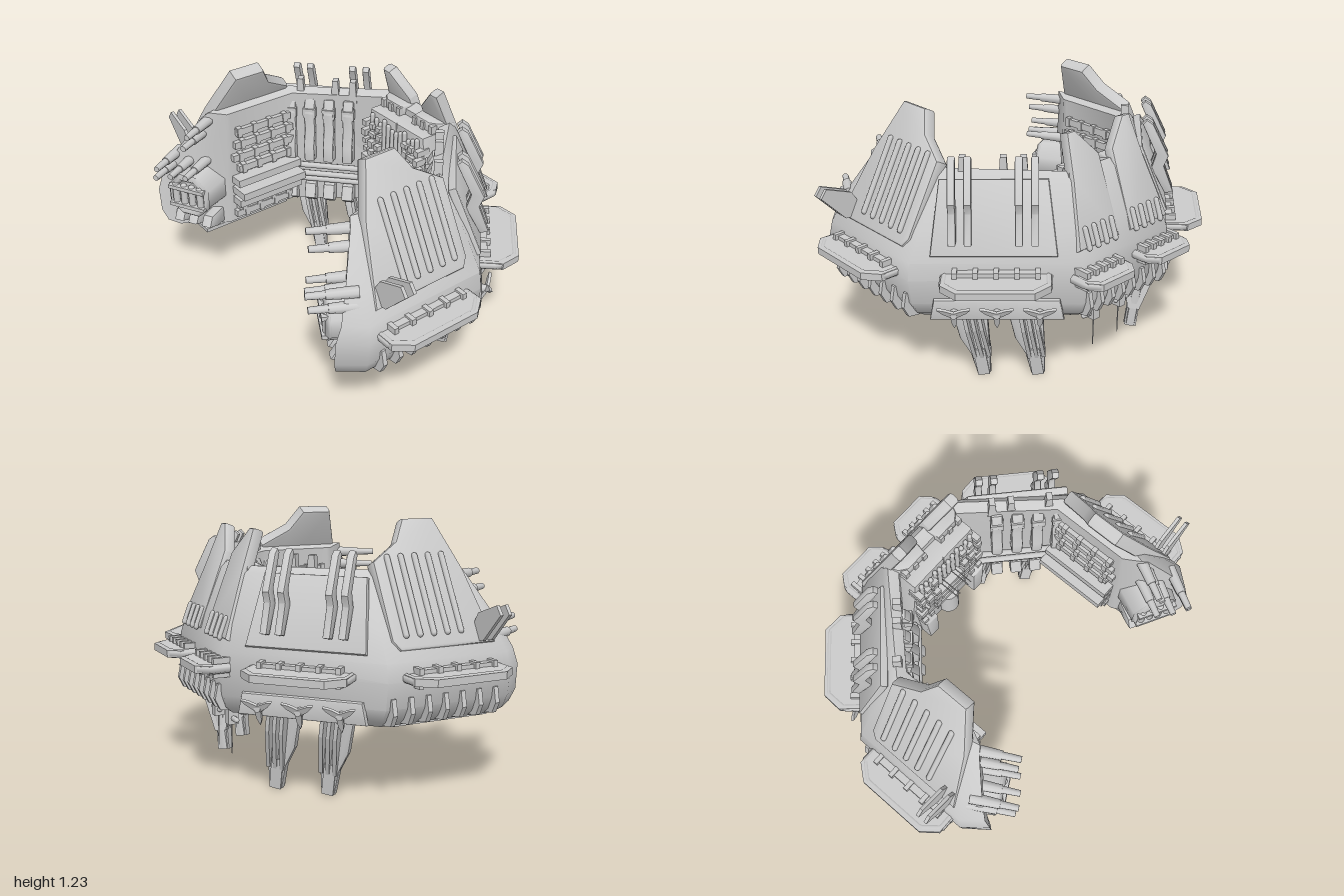
import * as THREE from 'three';
import { toCreasedNormals } from 'three/addons/utils/BufferGeometryUtils.js';

const grey = new THREE.MeshStandardMaterial({ color: 0xcccccc });

function add(parent, name, geo, x = 0, y = 0, z = 0, rx = 0, ry = 0, rz = 0) {
  const m = new THREE.Mesh(geo, grey);
  m.name = name;
  m.position.set(x, y, z);
  m.rotation.set(rx, ry, rz);
  parent.add(m);
  return m;
}
function frame(parent, name, x, y, z, ry = 0, rx = 0, rz = 0) {
  const g = new THREE.Group();
  g.name = name;
  g.position.set(x, y, z);
  g.rotation.set(rx, ry, rz);
  parent.add(g);
  return g;
}
const box = (w, h, d) => new THREE.BoxGeometry(w, h, d);
const capsule = (r, l) => new THREE.CapsuleGeometry(r, l, 3, 8);
const cyl = (a, b, h, n = 10) => new THREE.CylinderGeometry(a, b, h, n);

// Polygon slab, centred on its thickness; bevelled slabs get soft edges
function slab(pts, depth, bevel = 0) {
  const shape = new THREE.Shape(pts.map(p => new THREE.Vector2(p[0], p[1])));
  const d = depth - 2 * bevel;
  const g = new THREE.ExtrudeGeometry(shape, {
    depth: d, bevelEnabled: bevel > 0, bevelSize: bevel, bevelOffset: -bevel, bevelThickness: bevel, bevelSegments: 2
  }).translate(0, 0, -d / 2);
  return bevel > 0 ? toCreasedNormals(g, 0.75) : g;
}
// Profile drawn as (z, y), given a width along x
const sideSlab = (pts, width, bevel = 0) =>
  slab(pts.map(([z, y]) => [-z, y]), width, bevel).rotateY(Math.PI / 2);

// Horseshoe hull: one ring of wall points carried through eight stations
function hullGeometry() {
  // y, then x,z at the rear corner, the arm root, the arm shoulder and the arm end
  const rows = [
    [0.36, 0.25, -0.54, 0.76, -0.06, 0.77, 0.52, 0.7, 0.59],
    [0.39, 0.27, -0.575, 0.8, -0.075, 0.81, 0.54, 0.73, 0.64],
    [0.45, 0.28, -0.595, 0.835, -0.08, 0.835, 0.55, 0.75, 0.66],
    [0.57, 0.28, -0.6, 0.85, -0.08, 0.85, 0.55, 0.76, 0.66],
    [0.65, 0.28, -0.595, 0.835, -0.08, 0.835, 0.54, 0.76, 0.63],
    [0.78, 0.26, -0.555, 0.76, -0.07, 0.76, 0.5, 0.71, 0.57],
    [0.99, 0.22, -0.47, 0.62, -0.05, 0.62, 0.42, 0.6, 0.46],
    [1.02, 0.21, -0.44, 0.58, -0.04, 0.58, 0.4, 0.57, 0.44],
    [1.0, 0.2, -0.38, 0.53, -0.03, 0.53, 0.34, 0.53, 0.36],
    [0.62, 0.25, -0.35, 0.54, -0.02, 0.54, 0.34, 0.54, 0.38],
    [0.37, 0.25, -0.37, 0.54, -0.02, 0.54, 0.34, 0.54, 0.38]];
  const order = [[7, -1], [5, -1], [3, -1], [1, -1], [1, 1], [3, 1], [5, 1], [7, 1]];
  const stations = order.map(([k, s]) => rows.map(r => [s * r[k], r[0], r[k + 1]]));
  const pos = [], n = rows.length, last = stations.length - 1;
  const tri = (...v) => v.forEach(p => pos.push(...p));
  for (let s = 0; s < last; s++) for (let i = 0; i < n; i++) {
    const j = (i + 1) % n, A = stations[s], B = stations[s + 1];
    tri(A[i], A[j], B[j]);
    tri(A[i], B[j], B[i]);
  }
  for (let i = 1; i < n - 1; i++) {
    tri(stations[last][0], stations[last][i], stations[last][i + 1]);
    tri(stations[0][0], stations[0][i + 1], stations[0][i]);
  }
  const g = new THREE.BufferGeometry();
  g.setAttribute('position', new THREE.Float32BufferAttribute(pos, 3));
  return toCreasedNormals(g, 0.85);
}

// Flat dock sticking out of a wall, with a tube rim and collars at its root
function dock(parent, x, h, depth) {
  const g = frame(parent, 'sideDock', x, 0.585, 0);
  const t = h * 0.7;
  const edge = [[-h, 0], [-h, depth * 0.6], [-t, depth], [t, depth], [h, depth * 0.6], [h, 0]];
  add(g, 'dockPlate', slab(edge.map(p => [p[0], -p[1]]), 0.034), 0, 0, 0, -Math.PI / 2);
  const rim = new THREE.CurvePath();
  const pts = edge.map(p => new THREE.Vector3(p[0] * 0.95, 0, p[1] - 0.02));
  for (let i = 0; i < 5; i++) rim.add(new THREE.LineCurve3(pts[i], pts[i + 1]));
  add(g, 'dockRim', new THREE.TubeGeometry(rim, 40, 0.022, 6));
  add(g, 'dockRoot', box(h * 1.5, 0.07, 0.06), 0, 0, 0.005);
  for (let i = -2; i <= 2; i++) add(g, 'dockCollar', box(0.022, 0.09, 0.08), i * h * 0.38, 0, 0.01);
}

// Row of wedge ribs under a wall
function lowerRibs(parent, count, x0, step) {
  for (let i = 0; i < count; i++)
    add(parent, 'lowerRib', sideSlab([[-0.06, 0.37], [0, 0.38], [0.025, 0.43], [0.01, 0.5], [-0.05, 0.5]], 0.022), x0 + i * step, 0, 0);
}

// One arm
function buildArm(half) {
  const g = frame(half, 'armOuterSide', 0.84, 0, 0.27, Math.PI / 2);
  const a = Math.atan(0.2 / 0.37), c = Math.cos(a);
  const wall = frame(g, 'armWall', 0, 0.62, 0, 0, -a);
  const at = (z, y) => [0.27 - z, (y - 0.62) / c];
  add(wall, 'armFin', slab([[0.49, 0.69], [0.42, 1.0], [0.33, 1.225], [0.17, 1.225], [0.11, 1.13], [-0.03, 1.05], [-0.03, 0.73], [0, 0.69]].map(p => at(...p)), 0.07, 0.015), 0, 0, -0.015);
  for (let i = 0; i < 5; i++) {
    const [x, y] = at(0.32 - i * 0.07, 0.905);
    add(wall, 'finRib', capsule(0.014, 0.36), x, y, 0.022);
  }
  dock(g, 0.02, 0.25, 0.15);
  lowerRibs(g, 7, -0.205, 0.0875);
  for (const z of [0.41, 0.455])
    add(half, 'slantedVane', slab([[0.72, 0.7], [0.84, 0.71], [0.96, 0.84], [0.93, 0.88], [0.8, 0.83]], 0.016), 0, 0, z);
  add(half, 'keelPlate', box(0.18, 0.02, 0.5), 0.65, 0.355, 0.26);

  // Inner side: stacked shelves and long bars
  for (const [y, w] of [[0.5, 0.07], [0.56, 0.11], [0.62, 0.07]]) add(half, 'innerShelf', box(w, 0.04, 0.38), 0.54 - w / 2, y, 0.16);
  for (let i = 0; i < 6; i++) {
    const y = [0.42, 0.46, 0.68, 0.75, 0.82, 0.89][i], len = 0.38 - 0.03 * (i % 3);
    add(half, 'innerBar', box(0.04, 0.036, len), 0.53, y, 0.16);
    for (let k = 0; k < 4; k++) add(half, 'innerClamp', box(0.05, 0.05, 0.025), 0.53, y, 0.02 + k * 0.09 + 0.015 * (i % 2));
  }

  // Forward end: octagonal dock with upright cells, lower blocks and gun tubes
  const end = frame(half, 'armEndDock', 0.635, 0.585, 0.49, -0.5);
  add(end, 'endHousing', cyl(0.12, 0.14, 0.2, 8), 0, 0, 0, Math.PI / 2, Math.PI / 8, 0);
  add(end, 'endRing', new THREE.TorusGeometry(0.105, 0.02, 4, 8), 0, 0, 0.1, 0, 0, Math.PI / 8);
  for (let i = -1.5; i < 2; i++) add(end, 'endCell', capsule(0.018, 0.11), i * 0.046, 0, 0.11);
  for (const y of [-0.05, 0.05]) add(end, 'endStrap', box(0.2, 0.02, 0.03), 0, y, 0.12);
  for (const x of [-0.08, 0, 0.08])
    add(end, 'endLowerBlock', sideSlab([[-0.05, -0.21], [0.03, -0.2], [0.1, -0.17], [0.07, -0.12], [-0.05, -0.12]], 0.055, 0.008), x, 0, 0);
  for (const [x, y, z] of [[0.59, 0.97, 0.43], [0.62, 0.9, 0.44], [0.73, 0.77, 0.54], [0.75, 0.71, 0.54], [0.67, 0.74, 0.5], [0.61, 0.74, 0.45]]) {
    const t = frame(half, 'gunTube', x, y, z, -0.5);
    add(t, 'tubeBody', cyl(0.022, 0.028, 0.14), 0, 0, 0.05, Math.PI / 2);
    add(t, 'tubeMuzzle', cyl(0.015, 0.018, 0.09), 0, 0, 0.16, Math.PI / 2);
  }
}

// Diagonal section with its panel, pipes, claws and legs
function buildDiagonal(half) {
  const g = frame(half, 'diagonalSection', 0.56, 0, -0.34, Math.atan2(0.68, -0.733));
  const wall = frame(g, 'diagonalWall', 0, 0.62, 0, 0, -Math.atan(0.16 / 0.38));
  add(wall, 'wallPanel', slab([[-0.29, 0.06], [-0.25, 0.4], [0.23, 0.4], [0.27, 0.06]], 0.04, 0.01), 0, 0, 0.008);
  for (const x of [-0.19, -0.12, 0.1, 0.17])
    add(g, 'wallPipe', sideSlab([[-0.03, 0.74], [0.01, 0.75], [-0.04, 0.88], [-0.02, 0.93], [-0.1, 1.09], [-0.13, 1.11], [-0.15, 1.09], [-0.08, 0.94], [-0.1, 0.87]], 0.034, 0.006), x, 0, 0.02);
  dock(g, 0, 0.24, 0.18);
  add(g, 'clawPanel', slab([[-0.3, 0.38], [-0.28, 0.48], [0.28, 0.48], [0.3, 0.38]], 0.04, 0.01), 0, 0, 0);
  for (const x of [-0.19, 0, 0.19]) {
    const c = frame(g, 'claw', x, 0.42, 0.03);
    for (let i = 0; i < 3; i++)
      add(c, 'clawBlade', slab([[-0.016, 0], [0.016, 0], [0.01, 0.06], [0, 0.085], [-0.012, 0.05]], 0.014), 0, 0, 0.015, 0.4, 0, Math.PI + i * Math.PI * 2 / 3);
    add(c, 'clawHub', cyl(0.016, 0.022, 0.05, 8), 0, 0, 0, Math.PI / 2);
  }
  // Legs lean toward the centre line
  for (const x of [-0.125, 0.13]) {
    const leg = frame(g, 'leg', x, 0.4, -0.1, 0, 0.13, 0.14);
    add(leg, 'legBlade', slab([[-0.09, 0.4], [-0.08, 0.22], [-0.045, 0.12], [-0.035, 0], [0.03, 0], [0.05, 0.15], [0.075, 0.4]], 0.045, 0.01), 0, -0.4, 0);
    for (const k of [-1, 0, 1])
      add(leg, 'legRib', sideSlab([[-0.08, 0.4], [-0.07, 0.28], [-0.045, 0.16], [-0.03, 0.1], [0.03, 0.1], [0.045, 0.16], [0.08, 0.3], [0.08, 0.4]], 0.018), k * 0.033 + 0.005, -0.4, 0);
    add(leg, 'legFoot', box(0.055, 0.15, 0.06), -0.003, -0.325, 0);
  }
  // Inner side: curved ribs, long pipes and lower blocks
  for (let i = 0; i < 4; i++) {
    const x = -0.2 + i * 0.1;
    add(g, 'innerRib', sideSlab([[-0.18, 0.97], [-0.24, 0.97], [-0.275, 0.9], [-0.255, 0.8], [-0.29, 0.72], [-0.285, 0.63], [-0.18, 0.6]], 0.055, 0.01), x, 0, 0);
    add(g, 'innerCap', box(0.065, 0.05, 0.04), x, 0.9, -0.25);
    add(g, 'lowerBlock', sideSlab([[-0.18, 0.37], [-0.25, 0.37], [-0.3, 0.41], [-0.27, 0.48], [-0.18, 0.49]], 0.06, 0.008), x, 0, 0);
  }
  for (const x of [-0.15, 0.03, 0.12])
    add(g, 'rimNub', slab([[-0.022, 0.96], [-0.014, 1.075], [0.014, 1.075], [0.022, 0.96]], 0.04), x, 0, -0.21);
  for (let i = 0; i < 3; i++) add(g, 'innerPipe', capsule(0.016, 0.4), -0.02, 0.51 + i * 0.04, -0.26 - 0.015 * (i % 2), 0, 0, Math.PI / 2);
}

// Rear section, one half of it
function buildRear(half) {
  const g = frame(half, 'rearSection', 0, 0, -0.6, Math.PI);
  const a = Math.atan(0.14 / 0.37);
  const wall = frame(g, 'rearWall', 0, 0.62, 0, 0, -a);
  const pts = [[0.035, 0.7], [0.04, 1.06], [0.15, 1.18], [0.2, 1.18], [0.23, 0.98], [0.29, 0.7]];
  add(wall, 'rearFin', slab(pts.map(([x, y]) => [-x, (y - 0.62) / Math.cos(a)]), 0.06, 0.015), 0, 0, -0.01);
  for (let i = 0; i < 4; i++) add(wall, 'finFootPipe', capsule(0.013, 0.09), -0.07 - i * 0.055, 0.13, 0.022);
  dock(g, -0.19, 0.14, 0.13);
  lowerRibs(g, 4, -0.245, 0.07);
  // Hanging pod and antenna
  add(half, 'podStem', box(0.04, 0.14, 0.05), 0.09, 0.33, -0.48);
  add(half, 'podBar', capsule(0.013, 0.08), 0.11, 0.29, -0.48, 0, 0, Math.PI / 2);
  add(half, 'antenna', cyl(0.006, 0.002, 0.3, 5), 0.085, 0.26, -0.48);
  for (const x of [0.17, 0.24]) add(half, 'keelBlock', box(0.04, 0.04, 0.1), x, 0.365, -0.45);
}

// Bridge on the inner side of the rear section, one half of it
function buildBridge(half) {
  add(half, 'bridgeCore', slab([[0, 0.39], [0.25, 0.39], [0.25, 0.6], [0.2, 0.97], [0, 0.97]], 0.12, 0.01), 0, 0, -0.34);
  add(half, 'bridgeRoof', slab([[0.03, 0.45], [0.23, 0.45], [0.2, 0.38], [0.16, 0.35], [0.05, 0.35]], 0.06, 0.012), 0, 0.99, 0, -Math.PI / 2);
  for (let i = 0; i < 6; i++) add(half, 'bridgePipe', capsule(0.012, 0.12 + 0.03 * (i % 3)), 0.015 + i * 0.031, 0.86, -0.27);
  for (const y of [0.62, 0.67, 0.72]) add(half, 'bridgeBar', box(0.11, 0.025, 0.06), 0.055, y, -0.27);
  add(half, 'bridgeColumn', cyl(0.055, 0.055, 0.17, 16), 0, 0.49, -0.28);
  add(half, 'bridgeDrum', slab([[-0.035, 0.4], [-0.035, 0.58], [0.045, 0.6], [0.03, 0.4]], 0.1, 0.01), 0.17, 0, -0.27);
  let seed = 7;
  const rnd = () => (seed = (seed * 16807) % 2147483647) / 2147483647;
  for (let r = 0; r < 7; r++) for (let k = 0; k < 3; k++)
    add(half, 'bridgeFitting', box(0.02 + 0.03 * rnd(), 0.02 + 0.02 * rnd(), 0.05 + 0.04 * rnd()), 0.1 + k * 0.05, 0.6 + r * 0.05, -0.275);
  for (const x of [0.03, 0.05]) add(half, 'bridgeProbe', cyl(0.003, 0.003, 0.12, 5), x, 0.78, -0.22, Math.PI / 2);
  for (const x of [0.06, 0.12, 0.18]) add(half, 'roofNub', box(0.025, 0.04, 0.04), x, 0.99, -0.36);
}

// Reflect every mesh of one half to the other side, with corners reordered
function mirrored(half) {
  const out = new THREE.Group();
  half.updateMatrixWorld(true);
  half.traverse(o => {
    if (!o.isMesh) return;
    const g = o.geometry.index ? o.geometry.toNonIndexed() : o.geometry.clone();
    g.deleteAttribute('uv');
    g.clearGroups();
    g.applyMatrix4(o.matrixWorld).scale(-1, 1, 1);
    for (const at of [g.attributes.position, g.attributes.normal])
      for (let i = 0; i < at.count; i += 3) {
        const b = [at.getX(i + 1), at.getY(i + 1), at.getZ(i + 1)];
        at.setXYZ(i + 1, at.getX(i + 2), at.getY(i + 2), at.getZ(i + 2));
        at.setXYZ(i + 2, ...b);
      }
    add(out, o.name, g);
  });
  return out;
}

export function createModel() {
  const model = new THREE.Group();
  model.name = 'horseshoeStation';
  add(model, 'hull', hullGeometry());
  const left = new THREE.Group();
  left.name = 'leftHalf';
  [buildArm, buildDiagonal, buildRear, buildBridge].forEach(build => build(left));
  const right = mirrored(left);
  right.name = 'rightHalf';
  model.add(left, right);
  return model;
}
